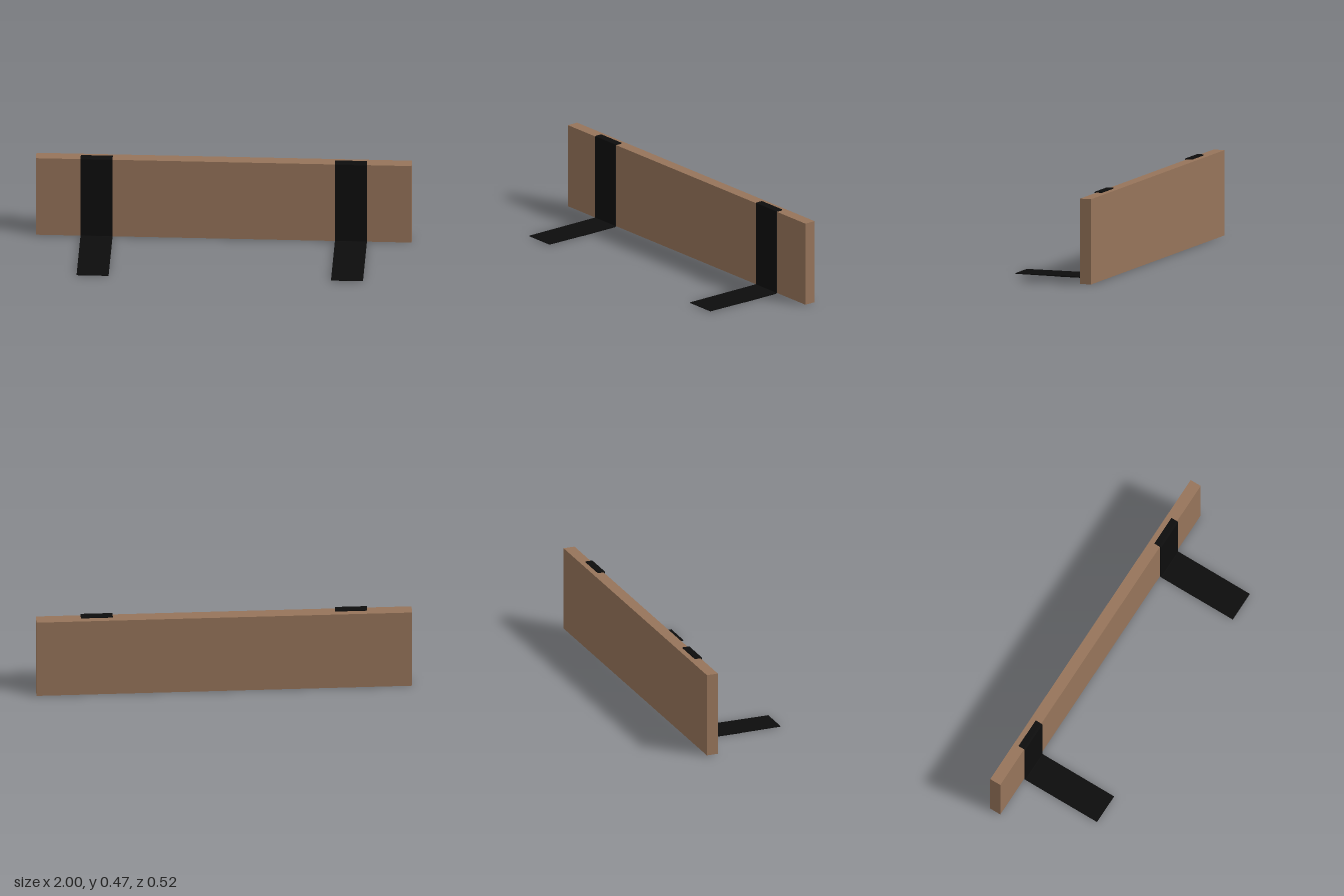
import * as THREE from 'three';

export function createModel() {
  const model = new THREE.Group();
  const wood = new THREE.MeshStandardMaterial({ color: 0x96745a });
  wood.name = 'brown wood';
  const steel = new THREE.MeshStandardMaterial({ color: 0x0d0d0d });
  steel.name = 'black steel';

  // Upright plank
  const board = new THREE.Mesh(new THREE.BoxGeometry(2, 0.458, 0.063), wood);
  board.name = 'board';
  board.position.set(0, 0.232, -0.2295);
  model.add(board);

  // Bent flat-bar profile (z, y): foot, upright and top hook with rounded bends
  const t = 0.006, tip = 0.26, hook = -0.232, front = -0.19, back = front - t;
  const base = 0.001, top = 0.468, rIn = 0.002, rOut = rIn + t;
  const p = new THREE.Shape();
  p.moveTo(tip, base + 0.002);
  p.lineTo(0.03, base);
  p.lineTo(0.03, 0);
  p.lineTo(back + rOut, 0);
  p.quadraticCurveTo(back, 0, back, rOut);
  p.lineTo(back, top - t - rIn);
  p.quadraticCurveTo(back, top - t, back - rIn, top - t);
  p.lineTo(hook, top - t);
  p.lineTo(hook, top);
  p.lineTo(front - rOut, top);
  p.quadraticCurveTo(front, top, front, top - rOut);
  p.lineTo(front, base + t + rIn);
  p.quadraticCurveTo(front, base + t, front + rIn, base + t);
  p.lineTo(tip, base + t);

  // Two matching brackets
  const width = 0.17;
  const geometry = new THREE.ExtrudeGeometry(p, { depth: width, bevelEnabled: false, curveSegments: 5 });
  geometry.rotateY(-Math.PI / 2).translate(width / 2, 0, 0);
  for (const side of [-1, 1]) {
    const bracket = new THREE.Mesh(geometry, steel);
    bracket.name = side > 0 ? 'leftBracket' : 'rightBracket';
    bracket.position.x = side * 0.677;
    model.add(bracket);
  }
  return model;
}
